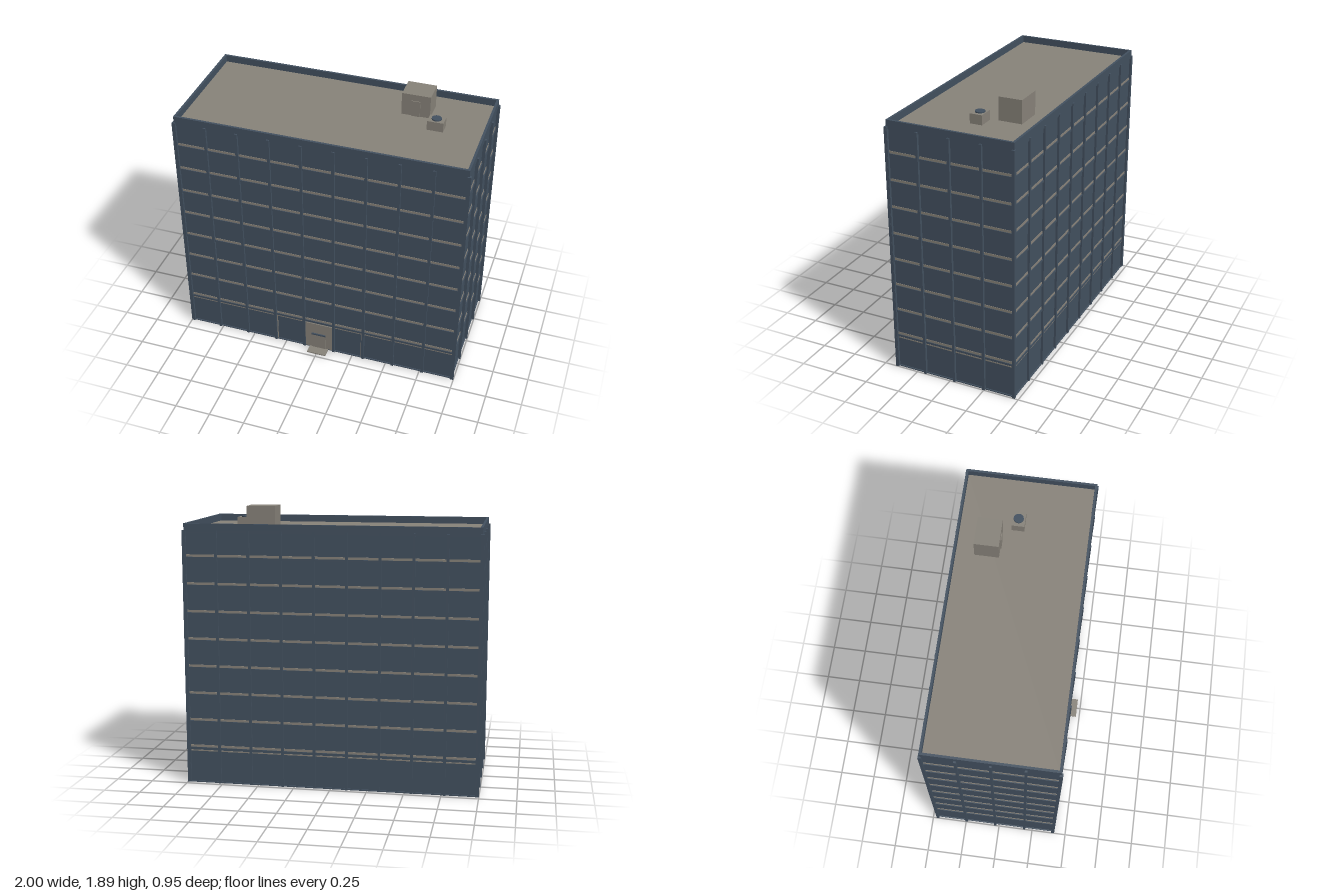
import * as THREE from 'three';

export function createModel() {
  const model = new THREE.Group();
  model.name = 'officeTower';
  const blue = new THREE.MeshStandardMaterial({ color: 0x435160 });
  blue.name = 'slateBlue';
  const tan = new THREE.MeshStandardMaterial({ color: 0x88837a });
  tan.name = 'warmConcrete';

  // Box given by its lower and upper limits on each axis
  const box = (name, mat, x0, x1, y0, y1, z0, z1) => {
    const m = new THREE.Mesh(new THREE.BoxGeometry(x1 - x0, y1 - y0, z1 - z0), mat);
    m.position.set((x0 + x1) / 2, (y0 + y1) / 2, (z0 + z1) / 2);
    m.name = name;
    model.add(m);
    return m;
  };

  const X = 0.98, ZB = -0.46, ZF = 0.40; // glass wall planes
  const ROOF = 1.735;

  // Four thin walls standing out from the glass by d, as a ring
  const ring = (name, mat, d, y0, y1, inset = 0) => {
    const i = X - inset, b = ZB + inset, f = ZF - inset;
    box(name + 'Front', mat, -X - d, X + d, y0, y1, f, ZF + d);
    box(name + 'Back', mat, -X - d, X + d, y0, y1, ZB - d, b);
    box(name + 'Left', mat, i, X + d, y0, y1, b, f);
    box(name + 'Right', mat, -X - d, -i, y0, y1, b, f);
  };

  // Body, underside and roof deck
  box('glassBody', blue, -X, X, 0.006, 1.73, ZB, ZF);
  box('baseSlab', tan, -X, X, 0, 0.006, ZB, ZF);
  box('roofDeck', tan, -0.975, 0.975, 1.73, ROOF + 0.002, -0.455, 0.395);
  ring('parapet', blue, 0.008, 1.725, 1.785, 0.008);

  // Floor bands with a blue transom below each
  for (let i = 0; i < 8; i++) {
    const y = 0.25 + i * 0.1875;
    ring('floorBand', tan, 0.003, y, y + 0.016);
    ring('transom', blue, 0.008, y - 0.015, y);
  }
  ring('groundFloorTrim', tan, 0.003, 0.222, 0.23);
  ring('baseRail', blue, 0.008, 0, 0.008);

  // Vertical mullions on the long sides
  for (let i = 0; i < 10; i++) {
    const x = -0.99 + i * 0.22, w = 0.009;
    box('frontMullion', blue, x - w, x + w, 0, 1.74, ZF - 0.005, ZF + 0.017);
    box('backMullion', blue, x - w, x + w, 0, 1.74, ZB - 0.015, ZB + 0.005);
  }
  // Vertical mullions on the short sides
  for (let i = 0; i < 5; i++) {
    const z = -0.466 + i * 0.2188, w = 0.008;
    for (const s of [-1, 1]) {
      const a = s * (X - 0.005), b = s * 1.0;
      box('sideMullion', blue, Math.min(a, b), Math.max(a, b), 0, 1.74, z - w, z + w);
    }
  }

  // Entrance bay, door, lintel, step and side trims
  box('entrancePanel', tan, -0.101, 0.101, 0.006, 0.228, ZF, ZF + 0.009);
  box('door', tan, -0.052, 0.052, 0.006, 0.13, ZF, ZF + 0.014);
  box('doorLintel', blue, -0.054, 0.052, 0.129, 0.14, ZF, ZF + 0.018);
  box('doorStep', tan, -0.07, 0.07, 0, 0.008, ZF, 0.475);
  for (const s of [-1, 1]) {
    box('entranceTrim', tan, s * 0.317 - 0.003, s * 0.317 + 0.003, 0.008, 0.228, ZF, ZF + 0.005);
  }

  // Roof plant room with a small door
  box('plantRoom', tan, 0.395, 0.59, ROOF, 1.895, -0.33, -0.168);
  box('plantRoomDoor', tan, 0.463, 0.522, ROOF, 1.85, -0.168, -0.162);

  // Roof vent unit with a round fan
  box('ventUnit', tan, 0.603, 0.712, ROOF, 1.803, -0.115, -0.03);
  const fan = new THREE.Mesh(new THREE.CylinderGeometry(0.033, 0.033, 0.009, 20), blue);
  fan.position.set(0.657, 1.806, -0.074);
  fan.name = 'ventFan';
  model.add(fan);

  return model;
}
